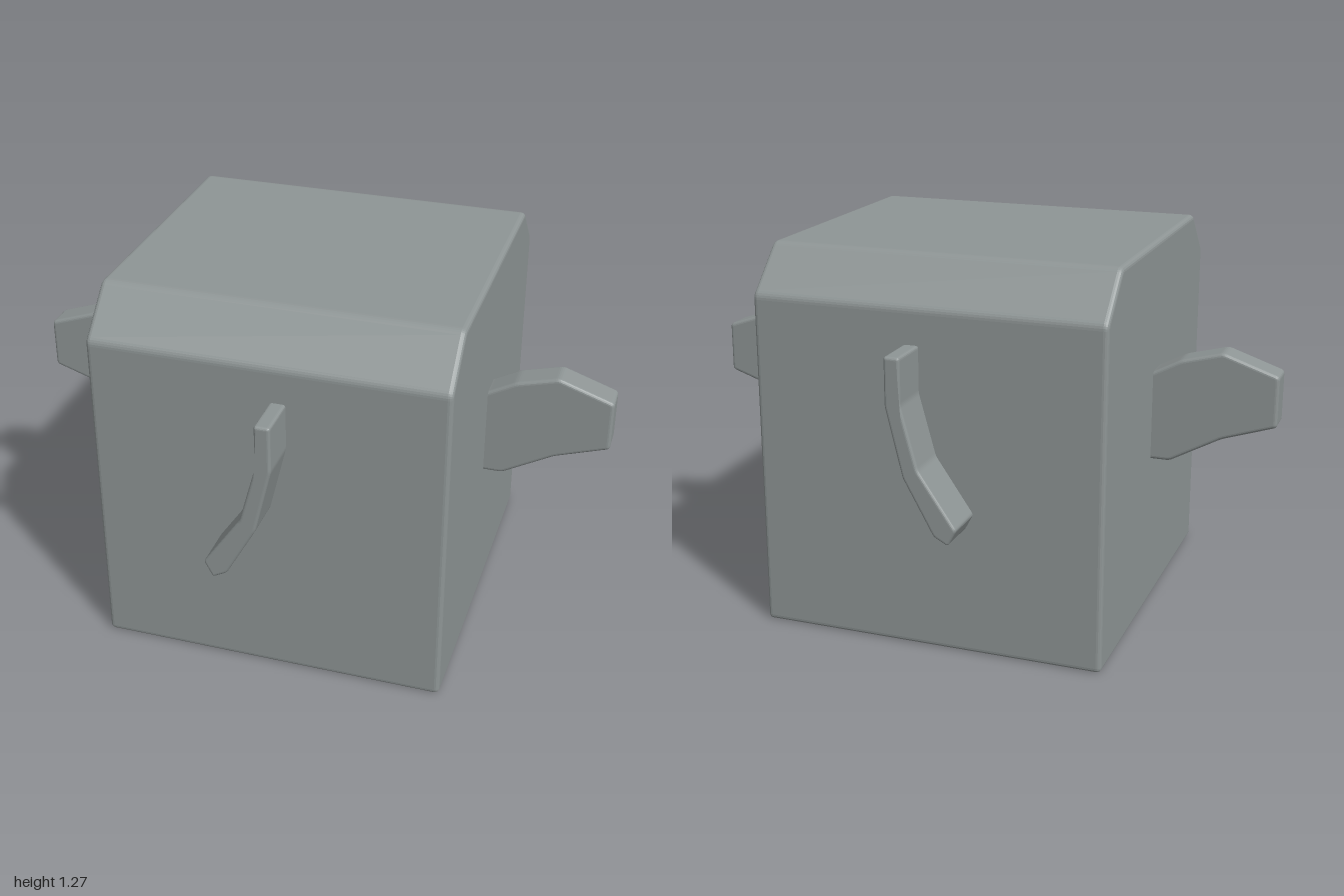
import * as THREE from 'three';

const material = new THREE.MeshStandardMaterial({ color: 0x8e9595 });

// Closed outline whose corners are softened by radius r
function softOutline(points, r) {
  const p = points.map(([x, y]) => new THREE.Vector2(x, y));
  const shape = new THREE.Shape();
  p.forEach((corner, i) => {
    const prev = p[(i + p.length - 1) % p.length];
    const next = p[(i + 1) % p.length];
    const a = corner.clone().add(prev.clone().sub(corner).setLength(r));
    const b = corner.clone().add(next.clone().sub(corner).setLength(r));
    if (i === 0) shape.moveTo(a.x, a.y);
    else shape.lineTo(a.x, a.y);
    shape.quadraticCurveTo(corner.x, corner.y, b.x, b.y);
  });
  shape.closePath();
  return shape;
}

// Outline extruded to a total depth, centred on z, with finely stepped rims
// kept inside the outline so the large faces stay evenly flat
function slab(name, points, depth, bevel) {
  const geometry = new THREE.ExtrudeGeometry(softOutline(points, bevel), {
    depth: depth - 2 * bevel,
    curveSegments: 4,
    bevelThickness: bevel,
    bevelSize: bevel,
    bevelOffset: -bevel,
    bevelSegments: 4,
  });
  geometry.translate(0, 0, bevel - depth / 2);
  const mesh = new THREE.Mesh(geometry, material);
  mesh.name = name;
  return mesh;
}

export function createModel() {
  const model = new THREE.Group();
  model.name = 'finnedBlock';

  // Main block: side profile with chamfered top edges, extruded across x
  const body = slab('body', [
    [-0.613, 0], [0.613, 0], [0.613, 1.125], [0.465, 1.27], [-0.465, 1.27], [-0.613, 1.125],
  ], 1.17, 0.016);
  body.rotation.y = Math.PI / 2;
  model.add(body);

  // Curved bar running through the block and standing out at front and back
  model.add(slab('curvedBar', [
    [0.018, 1.01], [0.018, 0.86], [-0.037, 0.66], [-0.161, 0.48],
    [-0.132, 0.425], [-0.085, 0.45], [0.015, 0.63], [0.07, 0.855], [0.07, 1.01],
  ], 1.525, 0.01));

  // Side fins, one turned half round to mirror the other
  const fin = [
    [0.5, 0.53], [0.648, 0.53], [0.82, 0.625], [1, 0.685], [1, 0.857],
    [0.815, 0.92], [0.675, 0.883], [0.585, 0.835], [0.5, 0.8],
  ];
  for (const [name, angle] of [['leftFin', 0], ['rightFin', Math.PI]]) {
    const mesh = slab(name, fin, 0.104, 0.012);
    mesh.rotation.y = angle;
    mesh.position.z = -0.003;
    model.add(mesh);
  }
  return model;
}
